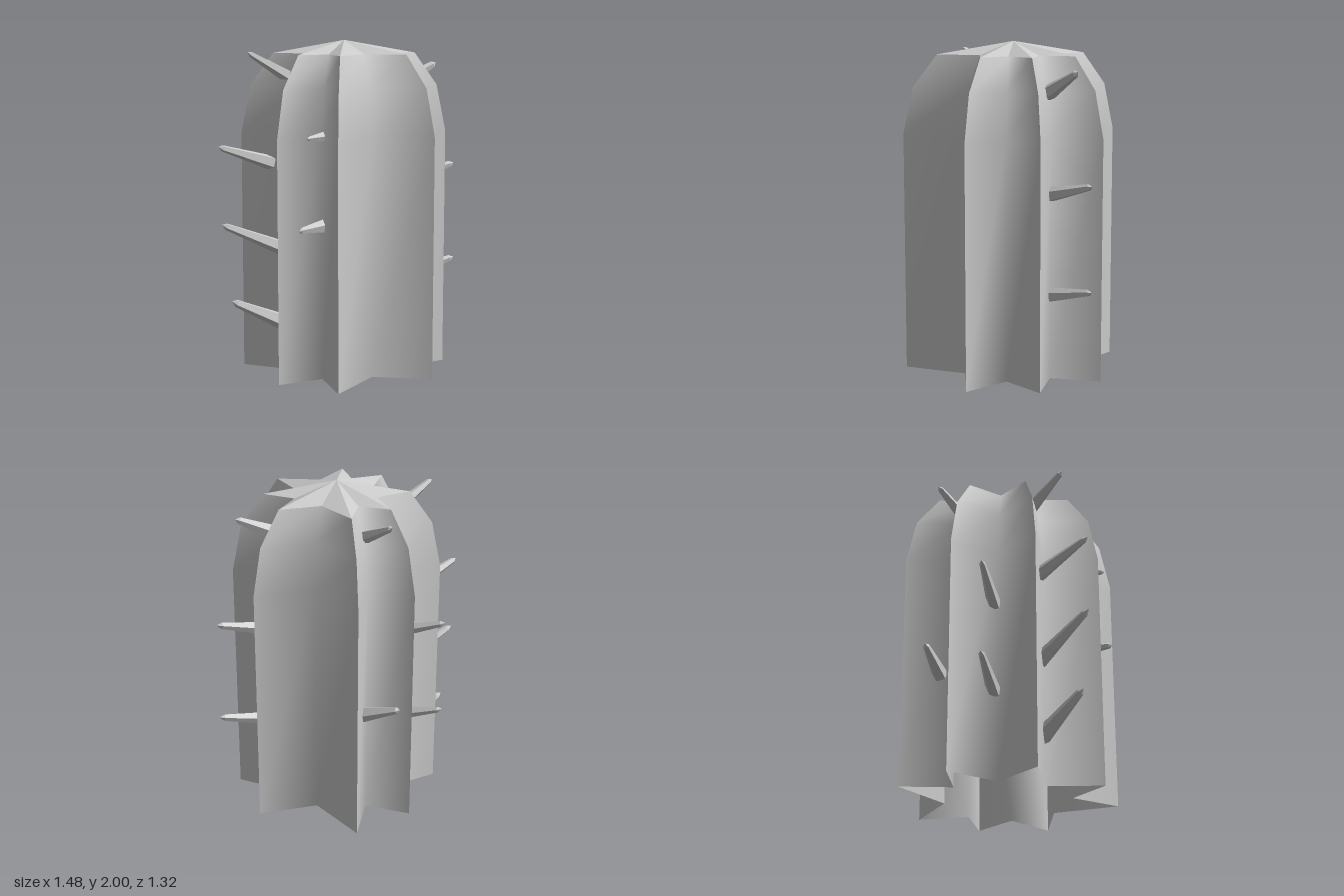
import * as THREE from 'three';

const CENTRE_X = 0.015;

// Half of the star outline (x, z), tip / valley alternating, mirrored in z
const half = [
  [0.635, 0], [0.375, 0.135], [0.51, 0.41], [0.157, 0.337], [-0.07, 0.66],
  [-0.143, 0.355], [-0.405, 0.46], [-0.308, 0.143], [-0.607, 0],
];
const outline = [...half, ...half.slice(1, -1).reverse().map(([x, z]) => [x, -z])];

// Height and outline scale of each ring
const rings = [[0, 1], [1.45, 1], [1.73, 0.908], [1.923, 0.69]];

// Spines: base point, tip point, base radius
const spines = [
  [[-0.33, 1.79, 0.06], [-0.565, 1.935, 0.19], 0.042],
  [[-0.43, 1.27, 0.07], [-0.742, 1.39, 0.275], 0.046],
  [[-0.34, 0.74, 0.09], [-0.73, 0.93, 0.275], 0.05],
  [[-0.33, 0.28, 0.11], [-0.675, 0.46, 0.25], 0.055],
  [[-0.13, 1.455, 0.36], [-0.235, 1.465, 0.565], 0.032],
  [[-0.13, 0.93, 0.36], [-0.285, 0.94, 0.58], 0.042],
  [[0.34, 1.71, -0.12], [0.605, 1.85, -0.225], 0.05],
  [[0.36, 1.115, -0.125], [0.735, 1.215, -0.275], 0.048],
  [[0.36, 0.51, -0.125], [0.742, 0.605, -0.275], 0.048],
  [[-0.12, 1.75, -0.29], [-0.265, 1.885, -0.515], 0.042],
  [[-0.3, 1.1, -0.165], [-0.605, 1.22, -0.325], 0.045],
  [[-0.3, 0.54, -0.165], [-0.605, 0.65, -0.325], 0.045],
  [[-0.11, 0.69, -0.44], [-0.32, 0.787, -0.58], 0.048],
];

function ringPoint(index, [y, scale]) {
  const [x, z] = outline[index % outline.length];
  return [CENTRE_X + (x - CENTRE_X) * scale, y, z * scale];
}

// One flute: tip - valley - tip, smooth inside and sharp along the tips
function fluteGeometry(start) {
  const positions = [];
  const indices = [];
  rings.forEach((ring, r) => {
    for (let c = 0; c < 3; c++) positions.push(...ringPoint(start + c, ring));
    if (r === rings.length - 1) return;
    for (let c = 0; c < 2; c++) {
      const a = r * 3 + c;
      indices.push(a, a + 3, a + 1, a + 1, a + 3, a + 4);
    }
  });
  const geometry = new THREE.BufferGeometry();
  geometry.setAttribute('position', new THREE.Float32BufferAttribute(positions, 3));
  geometry.setIndex(indices);
  geometry.computeVertexNormals();
  return geometry;
}

// Shallow star-shaped roof rising to the apex
function capGeometry() {
  const positions = [];
  const top = rings[rings.length - 1];
  for (let i = 0; i < outline.length; i++) {
    positions.push(CENTRE_X, 2, 0, ...ringPoint(i + 1, top), ...ringPoint(i, top));
  }
  const geometry = new THREE.BufferGeometry();
  geometry.setAttribute('position', new THREE.Float32BufferAttribute(positions, 3));
  geometry.computeVertexNormals();
  return geometry;
}

// Five-sided tapered spine with a short pointed end
function makeSpine([from, to, radius], material) {
  const base = new THREE.Vector3(...from);
  const axis = new THREE.Vector3(...to).sub(base);
  const length = axis.length();
  const profile = [[0, 0], [radius, 0], [radius * 0.42, length * 0.92], [0, length]]
    .map(([r, y]) => new THREE.Vector2(r, y));
  const mesh = new THREE.Mesh(new THREE.LatheGeometry(profile, 5), material);
  mesh.position.copy(base);
  mesh.quaternion.setFromUnitVectors(new THREE.Vector3(0, 1, 0), axis.normalize());
  mesh.name = 'spine';
  return mesh;
}

export function createModel() {
  const smooth = new THREE.MeshStandardMaterial({ color: 0xcccccc, side: THREE.DoubleSide });
  const flat = new THREE.MeshStandardMaterial({
    color: 0xcccccc, side: THREE.DoubleSide, flatShading: true,
  });
  const model = new THREE.Group();
  model.name = 'cactus';

  // Fluted trunk, open underneath
  const trunk = new THREE.Group();
  trunk.name = 'trunk';
  for (let i = 0; i < outline.length; i += 2) {
    const flute = new THREE.Mesh(fluteGeometry(i), smooth);
    flute.name = 'flute';
    trunk.add(flute);
  }

  const cap = new THREE.Mesh(capGeometry(), flat);
  cap.name = 'cap';

  const spineGroup = new THREE.Group();
  spineGroup.name = 'spines';
  spines.forEach((spine) => spineGroup.add(makeSpine(spine, flat)));

  model.add(trunk, cap, spineGroup);
  return model;
}
